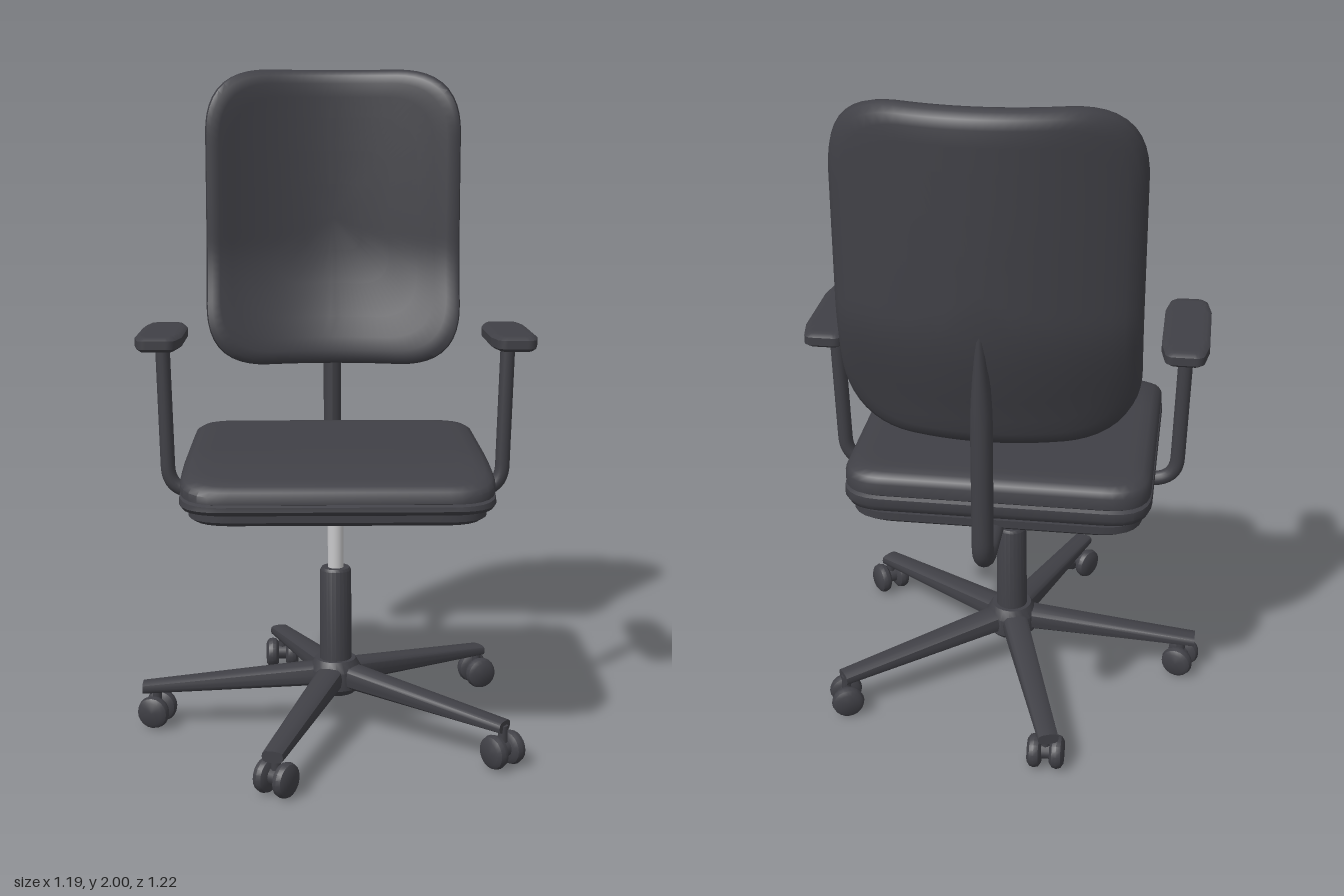
import * as THREE from 'three';
import { toCreasedNormals } from 'three/addons/utils/BufferGeometryUtils.js';

const CX = 0.017, CZ = 0.02;

// Rounded rectangle centred on the origin
function roundedRect(w, h, r) {
  const x = w / 2, y = h / 2, s = new THREE.Shape();
  s.moveTo(x, -y + r);
  s.lineTo(x, y - r); s.quadraticCurveTo(x, y, x - r, y);
  s.lineTo(-x + r, y); s.quadraticCurveTo(-x, y, -x, y - r);
  s.lineTo(-x, -y + r); s.quadraticCurveTo(-x, -y, -x + r, -y);
  s.lineTo(x - r, -y); s.quadraticCurveTo(x, -y, x, -y + r);
  return s;
}

// Closed pad: the outline is repeated as rings [inset, height], then filled inwards on both faces
function pad(shape, profile, deform = () => {}, crease = 0.7, n = 112) {
  const outline = shape.getSpacedPoints(n).slice(0, n);
  const hx = Math.max(...outline.map(p => p.x)), hy = Math.max(...outline.map(p => p.y));
  const first = profile[0], last = profile[profile.length - 1];
  const inner = [0, 0.25, 0.5, 0.75, 0.9];
  const rings = [
    ...inner.map(k => [k, ...first]),
    ...profile.map(p => [1, ...p]),
    ...inner.slice().reverse().map(k => [k, ...last]),
  ];
  const pos = [], index = [], v = new THREE.Vector3();
  rings.forEach(([k, inset, t]) => outline.forEach(p => {
    v.set(p.x * k * (1 - inset / hx), p.y * k * (1 - inset / hy), t);
    deform(v);
    pos.push(v.x, v.y, v.z);
  }));
  for (let i = 0; i < rings.length - 1; i++) {
    for (let j = 0; j < n; j++) {
      const a = i * n + j, b = i * n + (j + 1) % n;
      if (i > 0) index.push(a, b, b + n);
      if (i < rings.length - 2) index.push(a, b + n, a + n);
      else if (i === 0) index.push(a, b + n, a + n);
    }
  }
  const g = new THREE.BufferGeometry();
  g.setAttribute('position', new THREE.Float32BufferAttribute(pos, 3));
  g.setIndex(index);
  return toCreasedNormals(g, crease);
}

function lathe(points, segments) {
  const g = new THREE.LatheGeometry(points.map(p => new THREE.Vector2(...p)), segments);
  return toCreasedNormals(g, 0.6);
}

// Tube through straight runs with rounded corners
function bentTube(points, r, bend) {
  const p = points.map(q => new THREE.Vector3(...q)), path = new THREE.CurvePath();
  let from = p[0];
  for (let i = 1; i < p.length - 1; i++) {
    const a = p[i].clone().add(p[i - 1].clone().sub(p[i]).setLength(bend));
    const b = p[i].clone().add(p[i + 1].clone().sub(p[i]).setLength(bend));
    path.add(new THREE.LineCurve3(from, a));
    path.add(new THREE.QuadraticBezierCurve3(a, p[i], b));
    from = b;
  }
  path.add(new THREE.LineCurve3(from, p[p.length - 1]));
  return new THREE.TubeGeometry(path, 60, r, 14, false);
}

export function createModel() {
  const dark = new THREE.MeshStandardMaterial({ color: 0x404046 });
  dark.name = 'charcoal';
  const metal = new THREE.MeshStandardMaterial({ color: 0xc8c8ca });
  metal.name = 'brushed metal';
  const chair = new THREE.Group();
  chair.name = 'officeChair';
  const add = (name, geo, x = 0, y = 0, z = 0, mat = dark, parent = chair) => {
    const m = new THREE.Mesh(geo, mat);
    m.name = name;
    m.position.set(x, y, z);
    parent.add(m);
    return m;
  };

  // Seat cushion with a seam around it and a front edge that falls away
  const seat = pad(roundedRect(0.89, 0.85, 0.12), [
    [0.03, 0], [0.008, 0.012], [0, 0.03], [0.002, 0.052], [0.012, 0.058],
    [0.004, 0.064], [0.004, 0.098], [0.012, 0.115], [0.03, 0.127], [0.06, 0.131],
  ], v => {
    const f = Math.max(0, (-v.y - 0.1) / 0.325);
    v.z -= 0.055 * f * f * v.z / 0.131;
  });
  seat.rotateX(-Math.PI / 2);
  add('seatCushion', seat, CX, 0.754, 0.025);

  const pan = pad(roundedRect(0.84, 0.82, 0.12), [[0.015, 0], [0, 0.012], [0, 0.035]]);
  pan.rotateX(-Math.PI / 2);
  add('seatPan', pan, CX, 0.725, 0.018);
  add('tiltMechanism', new THREE.BoxGeometry(0.36, 0.024, 0.4), CX, 0.717, 0);

  // Backrest: wraps round the sitter, with the lower part brought forward
  const back = pad(roundedRect(0.815, 0.945, 0.2), [
    [0.045, -0.045], [0.02, -0.039], [0.005, -0.024], [0, 0],
    [0.005, 0.024], [0.02, 0.039], [0.045, 0.045],
  ], v => {
    const s = THREE.MathUtils.smoothstep(v.y + 1.528, 1, 1.45);
    v.z += -0.46 - 0.1 * s + 0.12 * (v.x / 0.4) ** 2;
  }, 0.9);
  add('backrest', back, CX, 1.528, 0);

  // Back support: runs rearwards under the seat, then up, thinning at the top
  const support = bentTube([[CX, 0.725, -0.12], [CX, 0.725, -0.573], [CX, 1.42, -0.573]], 0.03, 0.07);
  const sp = support.attributes.position;
  for (let i = 0; i < sp.count; i++) {
    const y = sp.getY(i), k = 1 - 0.45 * THREE.MathUtils.smoothstep(y, 1.15, 1.42);
    sp.setX(i, CX + (sp.getX(i) - CX) * k);
    if (y < 0.756 && sp.getZ(i) > -0.5) sp.setY(i, 0.725 + (y - 0.725) * 0.7);
  }
  support.computeVertexNormals();
  add('backSupport', support);
  add('backSupportTip', new THREE.SphereGeometry(0.0165, 12, 8), CX, 1.42, -0.573).scale.z = 1.8;

  // Armrests, mirrored
  const armShape = new THREE.Shape([
    [0.068, -0.12], [0.068, 0.12], [0.054, 0.198], [0.04, 0.21], [-0.04, 0.21], [-0.054, 0.198],
    [-0.068, 0.12], [-0.068, -0.12], [-0.054, -0.198], [-0.04, -0.21], [0.04, -0.21], [0.054, -0.198],
  ].map(p => new THREE.Vector2(...p)));
  armShape.closePath();
  const armPad = pad(armShape, [[0.012, -0.021], [0, -0.012], [0, 0.012], [0.012, 0.021]]);
  armPad.rotateX(-Math.PI / 2);
  for (const s of [1, -1]) {
    const arm = new THREE.Group();
    arm.name = s > 0 ? 'leftArmrest' : 'rightArmrest';
    chair.add(arm);
    add('armPad', armPad, CX + s * 0.515, 1.2, 0, dark, arm);
    add('armPost', bentTube([
      [CX + s * 0.15, 0.722, -0.03], [CX + s * 0.505, 0.728, -0.03], [CX + s * 0.518, 1.19, -0.03],
    ], 0.022, 0.075), 0, 0, 0, dark, arm);
  }

  // Gas lift
  add('piston', new THREE.CylinderGeometry(0.024, 0.024, 0.24, 24), CX, 0.6, CZ, metal);
  add('columnSleeve', lathe([[0, 0.15], [0.049, 0.15], [0.047, 0.492], [0.042, 0.5], [0, 0.5]], 24), CX, 0, CZ);
  add('hub', lathe([[0, 0.11], [0.06, 0.11], [0.08, 0.13], [0.08, 0.185], [0.062, 0.215], [0, 0.215]], 20), CX, 0, CZ);

  // Five tapered legs with twin-wheel casters
  const leg = new THREE.CylinderGeometry(1, 1, 1, 12, 1);
  leg.rotateZ(-Math.PI / 2);
  const lp = leg.attributes.position;
  for (let i = 0; i < lp.count; i++) {
    const t = lp.getX(i) + 0.5;
    const sq = a => Math.sign(a) * Math.pow(Math.abs(a), 0.65);
    lp.setXYZ(i, 0.03 + 0.56 * t,
      0.168 - 0.046 * t + sq(lp.getY(i)) * (0.036 - 0.019 * t),
      sq(lp.getZ(i)) * (0.042 - 0.011 * t));
  }
  const legGeo = toCreasedNormals(leg, 0.7);
  const wheel = lathe([[0, -0.021], [0.034, -0.021], [0.046, -0.013], [0.05, 0], [0.046, 0.013], [0.034, 0.021], [0, 0.021]], 20);
  wheel.rotateX(Math.PI / 2);
  const reach = [0.592, 0.567, 0.555, 0.562, 0.589];
  reach.forEach((r, i) => {
    const spoke = new THREE.Group();
    spoke.name = 'baseSpoke';
    spoke.position.set(CX, 0, CZ);
    spoke.rotation.y = -(36 + i * 72) * Math.PI / 180;
    chair.add(spoke);
    add('leg', legGeo, 0, 0, 0, dark, spoke);
    const caster = new THREE.Group();
    caster.name = 'caster';
    caster.position.x = r - 0.008;
    caster.rotation.y = -0.3;
    spoke.add(caster);
    for (const s of [1, -1]) add('wheel', wheel, 0, 0.052, s * 0.033, dark, caster);
    add('axle', new THREE.CylinderGeometry(0.025, 0.025, 0.05, 12).rotateX(Math.PI / 2), 0, 0.055, 0, dark, caster);
    add('stem', new THREE.CylinderGeometry(0.014, 0.014, 0.07, 12), 0, 0.09, 0, dark, caster);
  });
  return chair;
}
